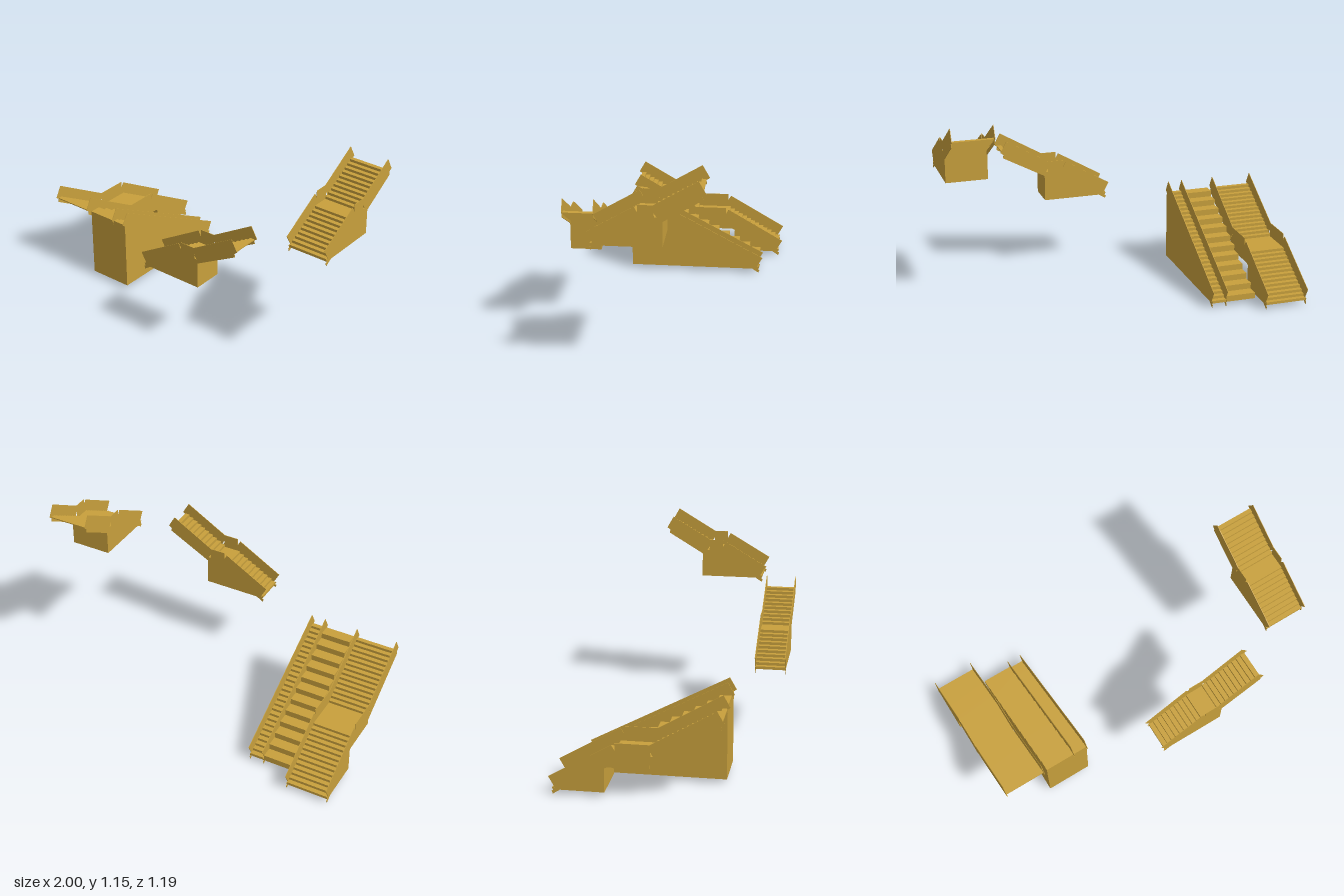
import * as THREE from 'three';

const gold = new THREE.MeshStandardMaterial({ color: 0xc8a03c });
gold.name = 'gold';

const PLATE = 0.003; // side panel thickness
const SHEET = 0.006; // thickness of the folded treads where they overhang

// Extrude a side profile (u = direction of climb, y = up) across the width
function slab(name, points, from, to, hole) {
  const shape = new THREE.Shape(points.map(([u, y]) => new THREE.Vector2(u, y)));
  if (hole) shape.holes.push(new THREE.Path(hole.map(([u, y]) => new THREE.Vector2(u, y))));
  const geometry = new THREE.ExtrudeGeometry(shape, { depth: to - from, bevelEnabled: false });
  geometry.translate(0, 0, from);
  const mesh = new THREE.Mesh(geometry, gold);
  mesh.name = name;
  return mesh;
}

// Zigzag line of n steps starting with a riser at (u, y)
function zigzag(u, y, run, rise, n) {
  const points = [];
  for (let k = 0; k < n; k++) {
    points.push([u + k * run, y + k * rise], [u + k * run, y + (k + 1) * rise]);
  }
  return points;
}

// Treads above a solid support up to the wall, then a thin folded underside
function treadProfile(top, wall, base) {
  const over = top.filter(([u]) => u > wall + 1e-4);
  const end = top[top.length - 1][0];
  const under = over.map(([u, y]) => [Math.min(u + SHEET, end), y - SHEET]).reverse();
  if (!under.length) return [...top, [end, base]];
  return [...top, ...under, [wall, under[under.length - 1][1]], [wall, base]];
}

// Ends of the side panels, shared by every staircase
const footEnd = (u, y) => [
  [u + 0.04, y], [u, y - 0.026], [u - 0.006, y - 0.008], [u + 0.004, y - 0.005],
  [u - 0.005, y + 0.013], [u + 0.012, y + 0.012], [u - 0.023, y + 0.075],
];
const headEnd = (u, y) => [
  [u - 0.022, y + 0.075], [u + 0.017, y + 0.006], [u - 0.002, y - 0.008], [u + 0.002, y - 0.028],
];

// Two flights with a landing between them
function landingStair(name, { u0, us, base, top, run, n1, n2, wall, width, low }) {
  const group = new THREE.Group();
  group.name = name;
  const rise = (top - base) / (n1 + n2);
  const level = base + n1 * rise;
  const u1 = us + n2 * run;
  const rail = u0 + (n1 - 1) * run + 0.017;

  const line = [
    ...zigzag(u0, base, run, rise, n1),
    ...zigzag(us, level, run, rise, n2),
    [u1, top],
  ];
  group.add(slab('treadsAndSupport', treadProfile(line, wall, base), PLATE, width - PLATE));

  // Panel underside: either runs on under a floating landing or drops at the wall
  const underside = low
    ? [[us, level - 0.03], [us, level - 0.057], [wall + 0.015, level - 0.057], [wall, level - 0.065], [wall, base]]
    : [[wall, level - 0.005], [wall, base]];
  const panel = [
    ...footEnd(u0, base),
    [rail - 0.018, level + 0.074], [rail, level + 0.042],
    [rail, level + 0.085], [us, level + 0.085],
    ...headEnd(u1, top),
    ...underside,
  ];
  const hole = [[us + 0.002, level + 0.044], [us + 0.018, level + 0.019], [us + 0.005, level + 0.019]];
  group.add(slab('sidePanel', panel, 0, PLATE, hole));
  group.add(slab('sidePanel', panel, width - PLATE, width, hole));
  return group;
}

// One long flight: narrow fine steps between panels, wide coarse steps beside them
function longStair(name, { u0, u1, base, top, fine, coarse, split, width }) {
  const group = new THREE.Group();
  group.name = name;
  const steps = (n) => treadProfile(
    [...zigzag(u0, base, (u1 - u0) / n, (top - base) / n, n), [u1, top]], u1, base);
  group.add(slab('fineSteps', steps(fine), PLATE, split - PLATE));
  group.add(slab('coarseSteps', steps(coarse), split, width));
  const panel = [...footEnd(u0, base), ...headEnd(u1, top), [u1, top - 0.028], [u1, base]];
  group.add(slab('sidePanel', panel, 0, PLATE));
  group.add(slab('sidePanel', panel, split - PLATE, split));
  return group;
}

export function createModel() {
  const model = new THREE.Group();
  model.name = 'staircases';

  // Climbs towards the front, with a floating landing
  const rightStair = landingStair('rightStair', {
    u0: -0.575, us: -0.04, base: 0.03, top: 0.455, run: 0.0273, n1: 13, n2: 14,
    wall: -0.29, width: 0.253, low: true,
  });
  rightStair.rotation.y = -Math.PI / 2;
  rightStair.position.x = -0.747;

  // Long straight stair beside it
  const straightStair = longStair('straightStair', {
    u0: -0.46, u1: 0.34, base: 0.03, top: 0.455, fine: 27, coarse: 12, split: 0.09, width: 0.27,
  });
  straightStair.rotation.y = -Math.PI / 2;
  straightStair.position.x = -0.455;

  // Climbs towards +x at the front
  const frontStair = landingStair('frontStair', {
    u0: -0.075, us: 0.285, base: 0.455, top: 0.778, run: 0.028, n1: 10, n2: 10,
    wall: 0.31, width: 0.178,
  });
  frontStair.position.z = 0.417;

  // Climbs towards the back, highest of all
  const leftStair = landingStair('leftStair', {
    u0: -0.365, us: -0.035, base: 0.777, top: 1.077, run: 0.0257, n1: 10, n2: 10,
    wall: 0.013, width: 0.245,
  });
  leftStair.rotation.y = Math.PI / 2;
  leftStair.position.x = 0.755;

  model.add(rightStair, straightStair, frontStair, leftStair);
  return model;
}
